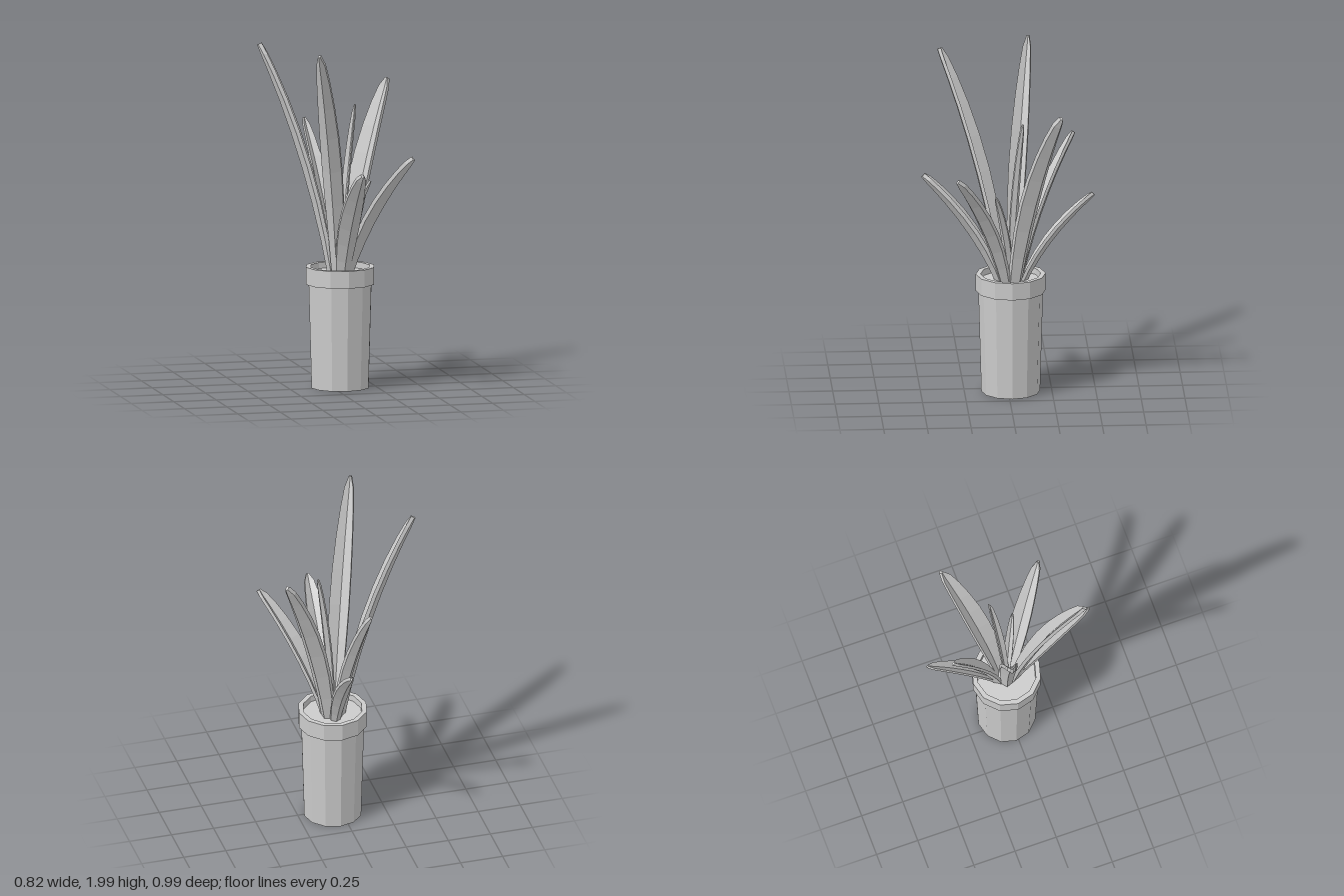
import * as THREE from 'three';

const CX = 0.047, CZ = -0.015;

// Leaf outline: [position along leaf, relative width]
const OUTLINE = [
  [0, 0.62], [0.15, 0.78], [0.3, 0.93], [0.45, 1], [0.6, 0.96],
  [0.74, 0.83], [0.86, 0.65], [0.95, 0.45], [1, 0.12],
];

// A thick, folded blade arching from base to tip
function leafGeometry(base, tip, width) {
  const lean = new THREE.Vector3(tip.x - base.x, 0, tip.z - base.z);
  const control = base.clone().addScaledVector(lean, 0.3);
  control.y += (tip.y - base.y) * 0.55;
  const curve = new THREE.QuadraticBezierCurve3(base, control, tip);
  const side = new THREE.Vector3(lean.z, 0, -lean.x).normalize();
  const positions = [], index = [];
  const n = 6;

  OUTLINE.forEach(([t, k]) => {
    const p = curve.getPoint(t);
    const normal = curve.getTangent(t).cross(side).normalize();
    const h = (width / 2) * k;
    const d = h * 0.3;
    const th = 0.011 * Math.min(1, width / 0.1);
    // V-shaped section: valley on top, keel underneath
    const section = [
      [h, d + th], [0, -d + th], [-h, d + th],
      [-h, d - th], [0, -d - th * 1.3], [h, d - th],
    ];
    for (const [s, u] of section) {
      const v = p.clone().addScaledVector(side, s).addScaledVector(normal, u);
      positions.push(v.x, v.y, v.z);
    }
  });

  for (let i = 0; i < OUTLINE.length - 1; i++) {
    for (let j = 0; j < n; j++) {
      const a = i * n + j, b = i * n + (j + 1) % n;
      index.push(a, a + n, b, b, a + n, b + n);
    }
  }
  // End caps
  const e = (OUTLINE.length - 1) * n;
  for (const [a, b, c, d] of [[0, 1, 4, 5], [1, 2, 3, 4]]) {
    index.push(a, b, c, a, c, d);
    index.push(e + a, e + c, e + b, e + a, e + d, e + c);
  }
  const g = new THREE.BufferGeometry();
  g.setAttribute('position', new THREE.Float32BufferAttribute(positions, 3));
  g.setIndex(index);
  g.computeVertexNormals();
  return g;
}

export function createModel() {
  const model = new THREE.Group();
  const material = new THREE.MeshStandardMaterial({
    color: 0xcccccc, flatShading: true, side: THREE.DoubleSide,
  });
  const add = (name, geometry) => {
    const mesh = new THREE.Mesh(geometry, material);
    mesh.name = name;
    model.add(mesh);
    return mesh;
  };
  const lathe = (points) =>
    new THREE.LatheGeometry(points.map(([x, y]) => new THREE.Vector2(x, y)), 12);

  // Tapered pot with a wider rim, and the soil inside
  add('pot', lathe([
    [0, 0], [0.168, 0], [0.185, 0.6], [0.2, 0.6], [0.2, 0.7], [0.172, 0.7], [0.17, 0.66],
  ])).position.set(CX, 0, CZ);
  add('soil', lathe([[0.17, 0.665], [0, 0.665]])).position.set(CX, 0, CZ);

  // Leaves: tip x, y, z, width, base offset from the centre
  const leaves = [
    [-0.395, 1.985, -0.14, 0.1, 0.045],
    [-0.175, 1.985, 0.38, 0.115, 0.045],
    [0.395, 1.73, -0.285, 0.135, 0.045],
    [0.395, 1.36, 0.305, 0.11, 0.05],
    [0.052, 1.3, 0.485, 0.12, 0.055],
    [0.072, 1.18, -0.485, 0.085, 0.065],
    [-0.075, 1.505, -0.38, 0.085, 0.05],
    [0.153, 1.62, -0.08, 0.05, 0],
    [0.2, 1.2, 0.078, 0.05, 0],
  ];
  leaves.forEach(([x, y, z, width, offset], i) => {
    const out = new THREE.Vector3(x - CX, 0, z - CZ).setLength(offset);
    const base = new THREE.Vector3(CX, 0.64, CZ).add(out);
    add(`leaf${i + 1}`, leafGeometry(base, new THREE.Vector3(x, y, z), width));
  });
  return model;
}
